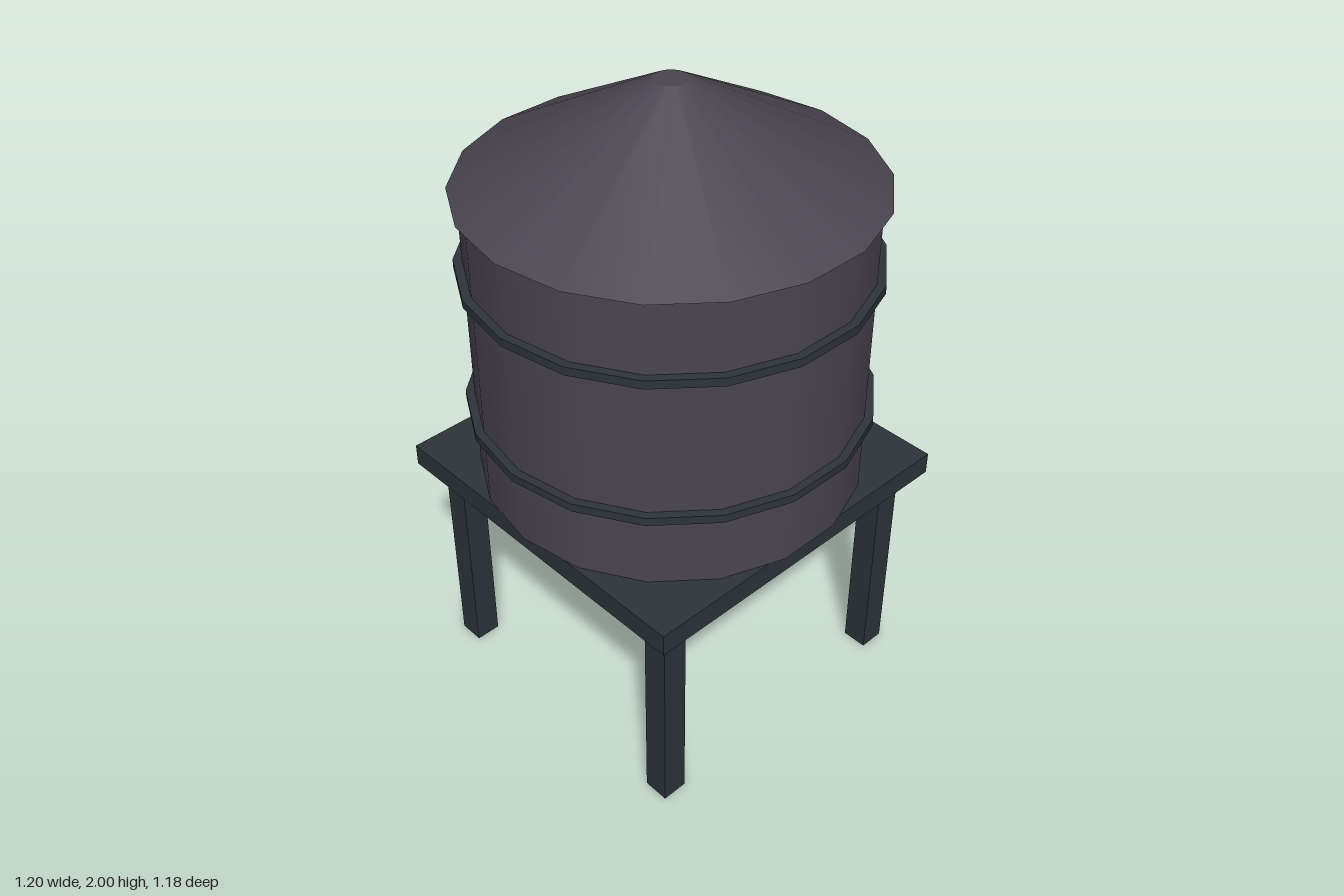
import * as THREE from 'three';

const SIDES = 18;

export function createModel() {
  const model = new THREE.Group();
  model.name = 'waterTower';
  const wood = new THREE.MeshStandardMaterial({ color: 0x4a4550 });
  const iron = new THREE.MeshStandardMaterial({ color: 0x2d343a });

  const add = (name, geometry, material, x, y, z) => {
    const mesh = new THREE.Mesh(geometry, material);
    mesh.name = name;
    mesh.position.set(x, y, z);
    model.add(mesh);
  };

  // Round part between two heights, with corners on the x axis
  const drum = (name, rTop, rBottom, y0, y1, material) => {
    const geometry = new THREE.CylinderGeometry(rTop, rBottom, y1 - y0, SIDES);
    geometry.rotateY(Math.PI / 2);
    add(name, geometry, material, 0, (y0 + y1) / 2, 0);
  };

  // Four square legs under a square platform
  for (const x of [-0.45, 0.45]) {
    for (const z of [-0.45, 0.45]) {
      add('leg', new THREE.BoxGeometry(0.08, 0.705, 0.08), iron, x, 0.3525, z);
    }
  }
  add('platform', new THREE.BoxGeometry(1.1, 0.07, 1.1), iron, 0, 0.74, 0);

  // Tank with two hoops and a blunt conical roof
  drum('tank', 0.575, 0.575, 0.775, 1.702, wood);
  drum('lowerHoop', 0.6, 0.6, 1.003, 1.029, iron);
  drum('upperHoop', 0.6, 0.6, 1.453, 1.479, iron);
  drum('roof', 0.05, 0.6, 1.702, 2, wood);

  return model;
}
